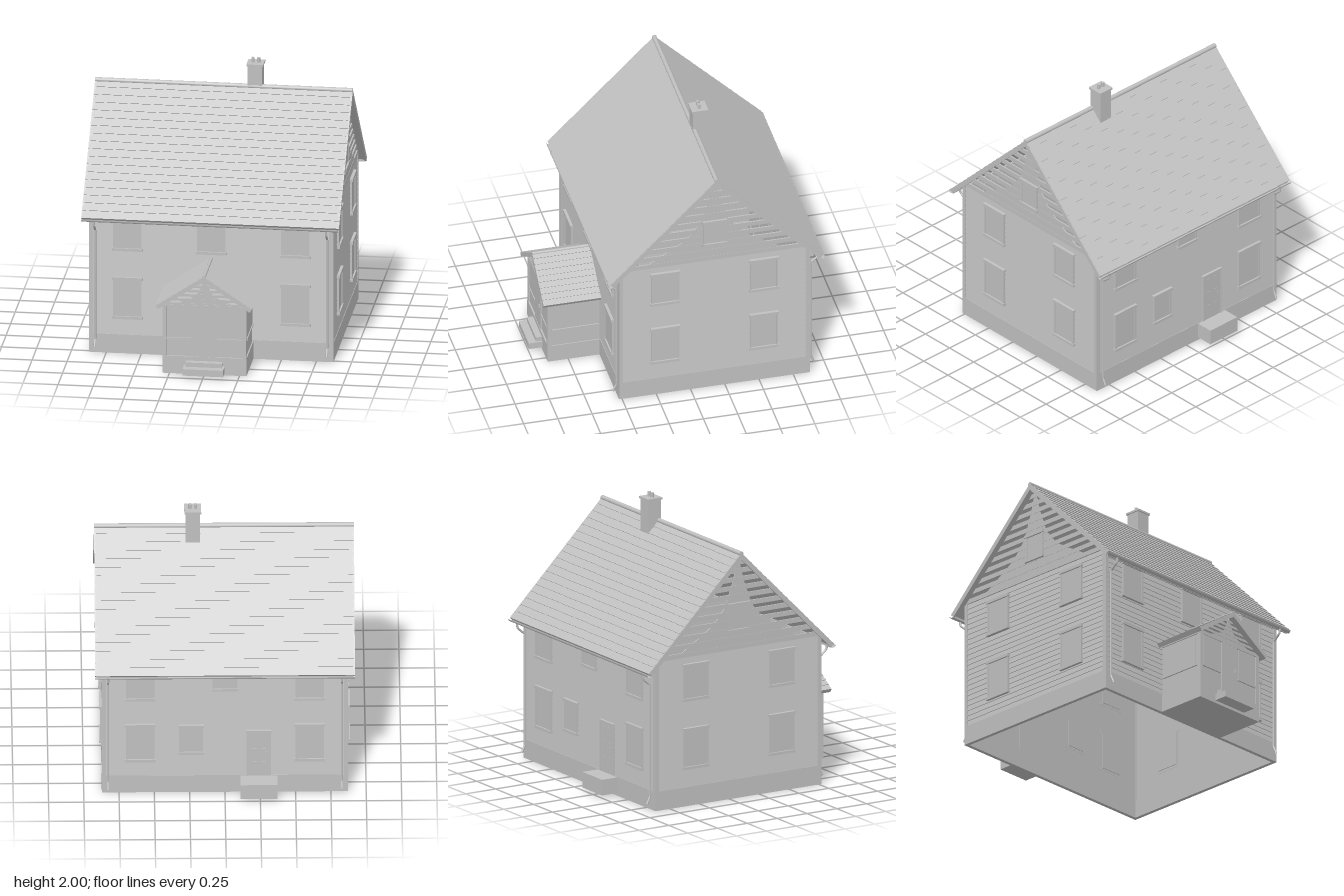
import * as THREE from 'three';

const grey = new THREE.MeshStandardMaterial({ color: 0xc0c0c0, side: THREE.DoubleSide });
grey.name = 'plain grey';

function add(parent, name, geo, x = 0, y = 0, z = 0) {
  const m = new THREE.Mesh(geo, grey);
  m.name = name;
  m.position.set(x, y, z);
  parent.add(m);
  return m;
}

// box given by its limits on each axis
function box(parent, name, x0, x1, y0, y1, z0, z1) {
  return add(parent, name, new THREE.BoxGeometry(x1 - x0, y1 - y0, z1 - z0),
    (x0 + x1) / 2, (y0 + y1) / 2, (z0 + z1) / 2);
}

function subgroup(parent, name, x = 0, y = 0, z = 0, ry = 0) {
  const g = new THREE.Group();
  g.name = name;
  g.position.set(x, y, z);
  g.rotation.y = ry;
  parent.add(g);
  return g;
}

// overlapping boards or tiles, from (0,0) out to z = run and down to y = -drop
function lapped(len, run, drop, rows, lap, thick) {
  const L = Math.hypot(run, drop), nz = drop / L, ny = run / L;
  const pts = [];
  for (let i = 0; i < rows; i++) {
    const a = i / rows, b = (i + 1) / rows;
    pts.push(new THREE.Vector2(run * a, -drop * a));
    pts.push(new THREE.Vector2(run * b + nz * lap, -drop * b + ny * lap));
  }
  pts.push(new THREE.Vector2(run, -drop));
  pts.push(new THREE.Vector2(run - nz * thick, -drop - ny * thick));
  pts.push(run > 0 ? new THREE.Vector2(0, -thick / ny) : new THREE.Vector2(-thick, 0));
  const g = new THREE.ExtrudeGeometry(new THREE.Shape(pts), { depth: len, bevelEnabled: false });
  return g.rotateY(-Math.PI / 2).translate(len / 2, 0, 0);
}

function plate(pts, depth) {
  const s = new THREE.Shape(pts.map(p => new THREE.Vector2(p[0], p[1])));
  return new THREE.ExtrudeGeometry(s, { depth, bevelEnabled: false });
}

// open gable: solid middle with slats reaching out to the roof
function gable(parent, half, height, rows, y, z) {
  const core = [[0, 1], [0.05, 0.7], [0.22, 0.42], [0.3, 0.3], [0.47, 0.16], [0.75, 0.06], [1, 0]];
  const side = core.map(([v, u]) => [u * half, v * height]);
  const mirror = side.slice(0, -1).reverse().map(([a, b]) => [-a, b]);
  add(parent, 'gableCore', plate([...side, ...mirror], 0.008), 0, y, z);
  const step = height / rows;
  for (let i = 0; i < rows; i++) {
    const a = i * step, b = a + step * 0.55;
    const wa = half * (1 - a / height), wb = half * (1 - b / height);
    add(parent, 'gableSlat', plate([[-wa, a], [wa, a], [wb, b], [-wb, b]], 0.01), 0, y, z);
  }
}

// window with casing, head and sill on a wall facing local +z
function addWindow(wall, x, y0, y1, w) {
  const g = subgroup(wall, 'window', x, 0, 0);
  const h = w / 2, t = 0.014;
  box(g, 'pane', -h, h, y0, y1, -0.025, 0.006);
  for (const s of [-1, 1]) {
    const a = s * h, b = s * (h + t);
    box(g, 'casing', Math.min(a, b), Math.max(a, b), y0, y1, -0.02, 0.012);
  }
  box(g, 'head', -h - 0.02, h + 0.02, y1, y1 + 0.022, -0.02, 0.018);
  box(g, 'sill', -h - 0.02, h + 0.02, y0 - 0.02, y0, -0.02, 0.018);
}

function addDoor(wall, x, y0, y1, w, panels) {
  const g = subgroup(wall, 'door', x, 0, 0), h = w / 2;
  box(g, 'doorLeaf', -h, h, y0, y1, -0.02, 0.009);
  box(g, 'doorHandle', h - 0.025, h - 0.019, y0 + 0.17, y0 + 0.2, 0.009, 0.018);
  if (!panels) return;
  box(g, 'doorHead', -h - 0.015, h + 0.015, y1, y1 + 0.015, -0.02, 0.014);
  for (const s of [-1, 1]) {
    box(g, 'doorCasing', s * (h + 0.006) - 0.006, s * (h + 0.006) + 0.006, y0, y1, -0.02, 0.013);
    for (let i = 0; i < 3; i++) {
      const y = y0 + 0.03 + i * 0.11, c = s * 0.032;
      box(g, 'doorPanel', c - 0.015, c + 0.015, y, y + 0.085, 0, 0.012);
    }
  }
}

export function createModel() {
  const house = new THREE.Group();
  house.name = 'house';
  const CZ = -0.175, HX = 0.87, HZ = 0.695;

  // hollow foundation and four sided walls
  const sides = {};
  for (const [name, x, z, ry, half, top] of [
    ['frontWall', 0, CZ + HZ, 0, HX, 1.07],
    ['backWall', 0, CZ - HZ, Math.PI, HX, 1.07],
    ['leftWall', HX, CZ, Math.PI / 2, HZ, 1.09],
    ['rightWall', -HX, CZ, -Math.PI / 2, HZ, 1.09]]) {
    const g = sides[name] = subgroup(house, name, x, 0, z, ry);
    add(g, 'siding', lapped(2 * half - 0.012, 0, top - 0.14, 24, 0.006, 0.012), 0, top, -0.007);
    box(g, 'foundation', -half, half, 0, 0.14, -0.025, 0.002);
    for (const s of [-1, 1])
      box(g, 'cornerBoard', s * (half - 0.014) - 0.014, s * (half - 0.014) + 0.014, 0.14, top, -0.02, 0.002);
  }
  const { frontWall, backWall, leftWall, rightWall } = sides;

  // windows
  for (const x of [-0.6, 0.6])
    for (const w of [frontWall, backWall]) {
      addWindow(w, x, 0.28, 0.55, 0.175);
      addWindow(w, x, 0.79, 1.02, 0.175);
    }
  addWindow(frontWall, 0, 0.79, 1.02, 0.175);
  addWindow(backWall, 0, 0.87, 1.02, 0.15);
  addWindow(backWall, -0.24, 0.34, 0.54, 0.14);
  for (const w of [leftWall, rightWall]) {
    for (const x of [-0.36, 0.36]) {
      addWindow(w, x, 0.29, 0.55, 0.175);
      addWindow(w, x, 0.79, 1.02, 0.175);
    }
    addWindow(w, 0, 1.24, 1.41, 0.14);
    gable(w, 0.68, 0.68, 11, 1.09, -0.008);
  }

  // back door and its step
  addDoor(backWall, 0.24, 0.14, 0.5, 0.15, true);
  box(house, 'backStep', -0.37, -0.11, 0.02, 0.135, -1, -0.87);

  // main roof with barge boards, gutters and downpipes
  const roof = subgroup(house, 'roof', 0, 0, -0.18);
  for (const ry of [0, Math.PI]) {
    const s = subgroup(roof, 'roofSide', 0, 0, 0, ry);
    add(s, 'tiles', lapped(1.83, 0.775, 0.775, 18, 0.006, 0.022), 0, 1.8, 0);
    for (const x of [-0.913, 0.913])
      add(s, 'bargeBoard', lapped(0.014, 0.775, 0.775, 1, 0, 0.034), x, 1.803, 0);
    const gutter = new THREE.CylinderGeometry(0.018, 0.018, 1.84, 10, 1, true, Math.PI / 2, Math.PI);
    add(s, 'gutter', gutter.rotateZ(Math.PI / 2).rotateX(-Math.PI / 2), 0, 1.018, 0.772);
    box(s, 'eaveBoard', -0.91, 0.91, 1.0, 1.03, 0.752, 0.762);
    const path = new THREE.CurvePath();
    const pts = [[1.005, 0.775], [0.97, 0.77], [0.92, 0.71], [0.1, 0.71], [0.05, 0.735]]
      .map(([y, z]) => new THREE.Vector3(0, y, z));
    for (let i = 1; i < pts.length; i++) path.add(new THREE.LineCurve3(pts[i - 1], pts[i]));
    for (const x of [-0.828, 0.828])
      add(s, 'downpipe', new THREE.TubeGeometry(path, 60, 0.008, 8), x, 0, 0);
  }
  add(roof, 'ridgeCap', new THREE.CylinderGeometry(0.017, 0.017, 1.84, 12).rotateZ(Math.PI / 2), 0, 1.797, 0);

  // chimney
  const chimney = subgroup(house, 'chimney', 0.222, 0, -0.218);
  box(chimney, 'stack', -0.052, 0.052, 1.7, 1.95, -0.052, 0.052);
  box(chimney, 'cap', -0.06, 0.06, 1.95, 1.965, -0.06, 0.06);
  for (const x of [-0.02, 0.02])
    add(chimney, 'pot', new THREE.CylinderGeometry(0.012, 0.012, 0.04, 12), x, 1.98, 0);

  // porch body
  const porch = subgroup(house, 'porch');
  box(porch, 'porchBase', -0.3, 0.3, 0, 0.13, 0.52, 0.9);
  box(porch, 'porchBody', -0.292, 0.292, 0.13, 0.51, 0.52, 0.888);
  for (const x of [-0.284, 0.284]) box(porch, 'post', x - 0.014, x + 0.014, 0.13, 0.51, 0.87, 0.9);
  box(porch, 'header', -0.3, 0.3, 0.5, 0.515, 0.52, 0.898);
  const front = subgroup(porch, 'porchFront', 0, 0, 0.888);
  addDoor(front, 0, 0.13, 0.5, 0.155, false);
  for (const s of [-1, 1]) {
    box(front, 'porchPane', s * 0.18 - 0.082, s * 0.18 + 0.082, 0.27, 0.5, -0.01, 0.005);
    box(front, 'porchSill', s * 0.185 - 0.095, s * 0.185 + 0.095, 0.255, 0.267, -0.01, 0.01);
    const side = subgroup(porch, 'porchSide', s * 0.292, 0, 0.7, s * Math.PI / 2);
    box(side, 'porchPane', -0.15, 0.15, 0.27, 0.48, -0.01, 0.005);
    box(side, 'porchSill', -0.17, 0.17, 0.255, 0.267, -0.01, 0.01);
    // porch roof slope
    const slope = subgroup(porch, 'porchRoofSide', 0, 0.742, 0.73, s * Math.PI / 2);
    add(slope, 'porchTiles', lapped(0.42, 0.342, 0.228, 9, 0.005, 0.028));
  }
  add(porch, 'porchRidge', new THREE.CylinderGeometry(0.012, 0.012, 0.42, 10).rotateX(Math.PI / 2), 0, 0.738, 0.73);
  gable(porch, 0.3, 0.2, 6, 0.51, 0.885);

  // front steps
  box(porch, 'upperStep', -0.13, 0.13, 0.02, 0.1, 0.89, 0.945);
  box(porch, 'lowerStep', -0.145, 0.145, 0.02, 0.068, 0.89, 1);
  return house;
}
